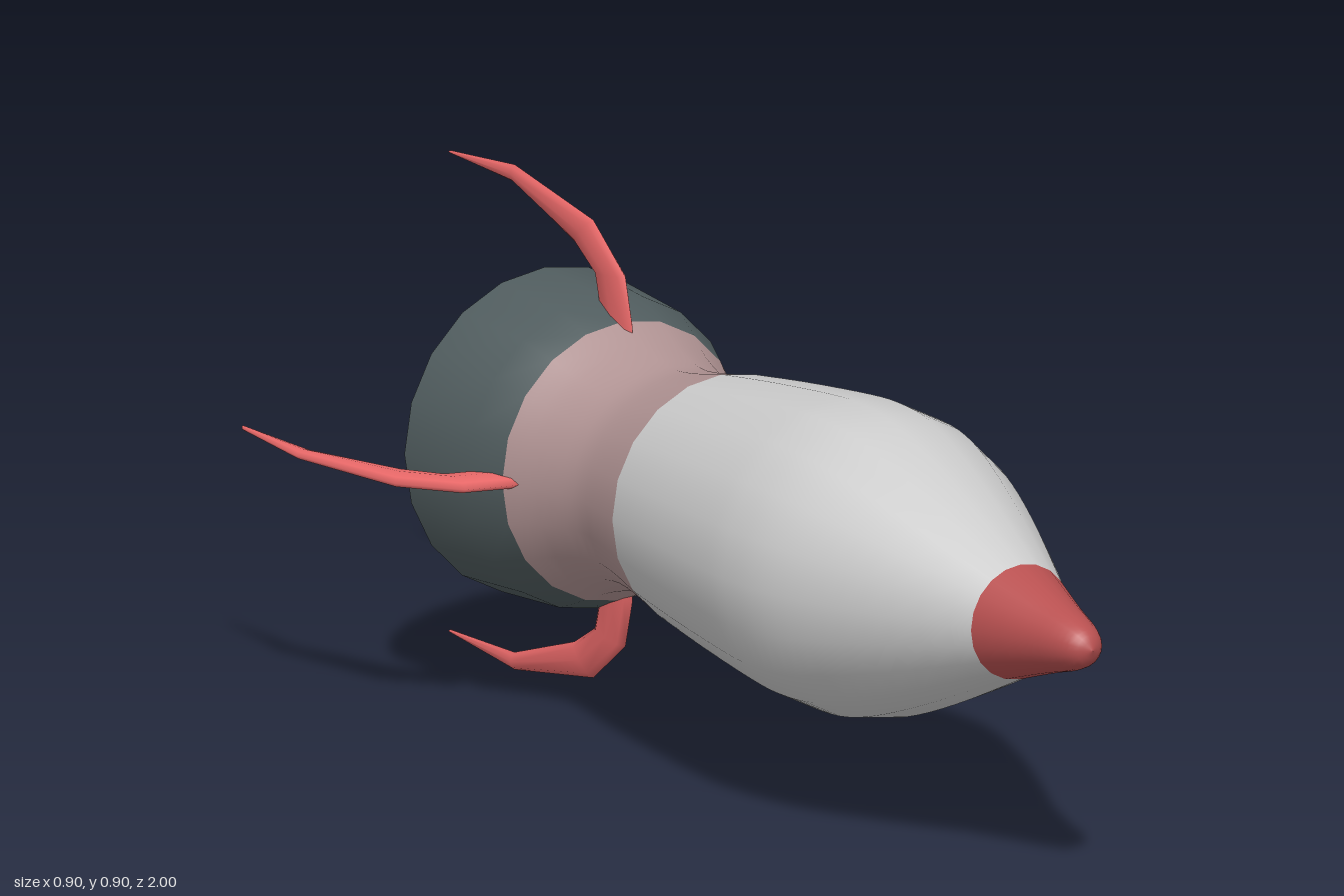
import * as THREE from 'three';
import { toCreasedNormals } from 'three/addons/utils/BufferGeometryUtils.js';

const SIDES = 20;
const material = (color) => new THREE.MeshStandardMaterial({ color });

// Profile points are [radius, z], listed from rear to front.
function turned(name, profile, color, samples = 0) {
  let points = profile.map(([r, z]) => new THREE.Vector2(r, z));
  if (samples) points = new THREE.SplineCurve(points).getPoints(samples);
  points.forEach((p) => { p.x = Math.max(0, p.x); });
  let geometry = new THREE.LatheGeometry(points, SIDES).rotateX(Math.PI / 2);
  if (!samples) geometry = toCreasedNormals(geometry, 0.5);
  const mesh = new THREE.Mesh(geometry, material(color));
  mesh.name = name;
  return mesh;
}

// Curved fin: oval sections between an outer and an inner edge.
function finGeometry() {
  // outer radius, outer z, inner radius, inner z, half width
  const stations = [
    [0.19, -0.433, 0.19, -0.53, 0.0125],
    [0.243, -0.433, 0.243, -0.53, 0.0125],
    [0.328, -0.455, 0.317, -0.55, 0.0125],
    [0.407, -0.555, 0.356, -0.614, 0.012],
    [0.449, -0.8, 0.418, -0.8, 0.009],
    [0.428, -1, 0.424, -1, 0.004],
  ];
  const n = 8, positions = [], index = [];
  for (const [r0, z0, r1, z1, w] of stations) {
    for (let j = 0; j < n; j++) {
      const a = (j / n) * Math.PI * 2, c = Math.cos(a) / 2;
      positions.push(w * Math.sin(a), (r0 + r1) / 2 + (r0 - r1) * c, (z0 + z1) / 2 + (z0 - z1) * c);
    }
  }
  for (let i = 0; i < stations.length - 1; i++) {
    for (let j = 0; j < n; j++) {
      const a = i * n + j, b = i * n + (j + 1) % n;
      index.push(a, b, a + n, b, b + n, a + n);
    }
  }
  // Close the tip
  const last = (stations.length - 1) * n;
  for (let j = 1; j < n - 1; j++) index.push(last, last + j, last + j + 1);
  const geometry = new THREE.BufferGeometry();
  geometry.setAttribute('position', new THREE.Float32BufferAttribute(positions, 3));
  geometry.setIndex(index);
  geometry.computeVertexNormals();
  return geometry;
}

export function createModel() {
  const model = new THREE.Group();
  model.name = 'rocket';
  model.position.y = 0.45;

  // Engine ring with a recessed rear face
  model.add(turned('engineRing', [
    [0, -0.65], [0.19, -0.65], [0.198, -0.705], [0.289, -0.705], [0.277, -0.53], [0.248, -0.463],
  ], 0x505c5e));

  // Narrow waist
  model.add(turned('waist', [
    [0.248, -0.463], [0.22, -0.4], [0.2, -0.32], [0.205, -0.25], [0.225, -0.155],
  ], 0xb09393, 12));

  // Bulging hull
  model.add(turned('hull', [
    [0.225, -0.155], [0.247, 0], [0.268, 0.18], [0.273, 0.27], [0.266, 0.36],
    [0.238, 0.46], [0.182, 0.6], [0.102, 0.775],
  ], 0xcccccc, 24));

  // Rounded nose
  model.add(turned('noseCone', [
    [0.102, 0.775], [0.067, 0.88], [0.046, 0.95], [0.028, 0.985], [0, 1],
  ], 0xb85050, 14));

  // Four fins around the tail
  const geometry = finGeometry(), red = material(0xe86868);
  ['topFin', 'leftFin', 'bottomFin', 'rightFin'].forEach((name, i) => {
    const fin = new THREE.Mesh(geometry, red);
    fin.name = name;
    fin.rotation.z = -i * Math.PI / 2;
    model.add(fin);
  });

  const root = new THREE.Group();
  root.add(model);
  return root;
}
